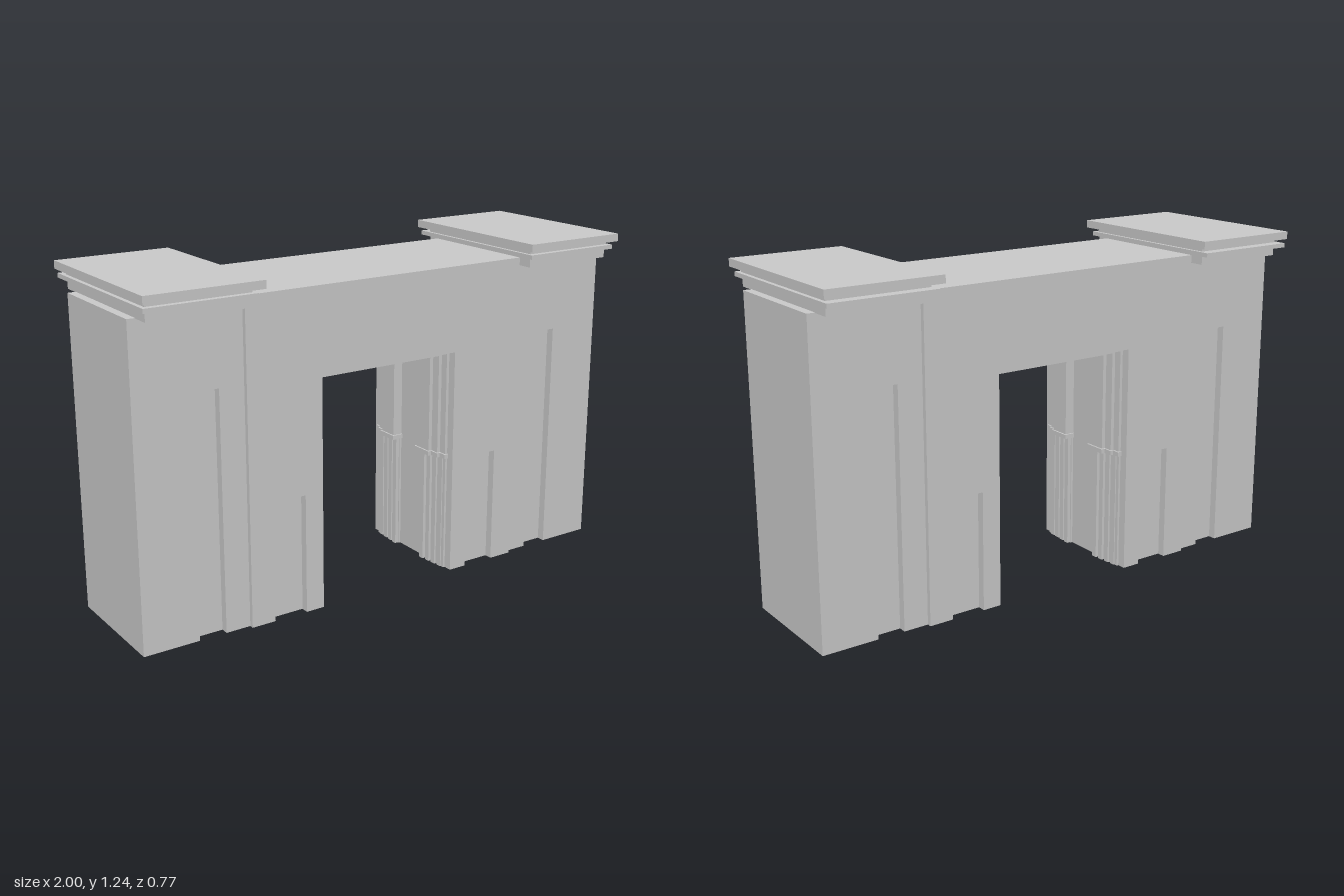
import * as THREE from 'three';

const material = new THREE.MeshStandardMaterial({ color: 0xcccccc });

function addMesh(parent, geometry, name) {
  const mesh = new THREE.Mesh(geometry, material);
  mesh.name = name;
  parent.add(mesh);
  return mesh;
}

// Box given by its limits on each axis
function block(parent, name, x0, x1, y0, y1, z0, z1) {
  const mesh = addMesh(parent, new THREE.BoxGeometry(Math.abs(x1 - x0), y1 - y0, Math.abs(z1 - z0)), name);
  mesh.position.set((x0 + x1) / 2, (y0 + y1) / 2, (z0 + z1) / 2);
}

// Upright slab standing on the ground, with notches [x0, x1, height] cut up from its foot
function slab(parent, name, x0, x1, height, z0, z1, notches) {
  const s = new THREE.Shape();
  s.moveTo(x0, 0);
  for (const [a, b, h] of notches) {
    s.lineTo(a, 0); s.lineTo(a, h); s.lineTo(b, h); s.lineTo(b, 0);
  }
  s.lineTo(x1, 0); s.lineTo(x1, height); s.lineTo(x0, height);
  const g = new THREE.ExtrudeGeometry(s, { depth: z1 - z0, bevelEnabled: false });
  addMesh(parent, g.translate(0, 0, z0), name);
}

// Solid core with a skin on front and back, where recesses are cut into the skins
function recessedWall(parent, name, x0, x1, height, half, through, recesses) {
  const d = 0.03;
  const all = [...through, ...recesses].sort((a, b) => a[0] - b[0]);
  slab(parent, name + 'Core', x0, x1, height, d - half, half - d, through);
  slab(parent, name + 'Front', x0, x1, height, half - d, half, all);
  slab(parent, name + 'Back', x0, x1, height, -half, d - half, all);
}

export function createModel() {
  const model = new THREE.Group();
  model.name = 'gateway';

  // Middle wall with the passage and two low recesses on each face
  const open = 0.288, openTop = 0.862;
  recessedWall(model, 'wall', -0.583, 0.583, 1.18, 0.248,
    [[-open, open, openTop]], [[-0.49, -0.36, 0.445], [0.36, 0.49, 0.445]]);

  for (const side of [-1, 1]) {
    const tower = new THREE.Group();
    tower.name = side > 0 ? 'leftTower' : 'rightTower';
    model.add(tower);
    const span = (a, b) => (side > 0 ? [a, b] : [-b, -a]);

    // Tower body with a tall recess on each face
    recessedWall(tower, 'towerBody', ...span(0.575, 0.99), 1.152, 0.231, [], [[...span(0.677, 0.78), 0.88]]);

    // Stepped cornice
    block(tower, 'corniceNeck', ...span(0.587, 0.96), 1.15, 1.184, -0.3, 0.3);
    block(tower, 'corniceFillet', ...span(0.573, 0.977), 1.184, 1.2, -0.342, 0.324);
    block(tower, 'corniceUpperNeck', ...span(0.585, 0.962), 1.2, 1.215, -0.302, 0.302);
    block(tower, 'corniceTop', ...span(0.557, 0.986), 1.215, 1.244, -0.344, 0.344);
  }

  // Passage mouldings near each face: [inner half width, top, outer z]
  const steps = [[0.277, 0.85, 0.215], [0.264, 0.838, 0.185], [0.25, 0.826, 0.15]];
  const zIn = 0.075, springing = 0.445;
  for (const face of [-1, 1]) {
    const arch = new THREE.Group();
    arch.name = face > 0 ? 'frontPortal' : 'backPortal';
    model.add(arch);
    for (const [inner, top, zOut] of steps) {
      block(arch, 'lintelMoulding', -open, open, top, openTop, face * zIn, face * zOut);
      for (const side of [-1, 1]) {
        block(arch, 'jambMoulding', side * inner, side * open, springing, top, face * zIn, face * zOut);
      }
    }
    for (const side of [-1, 1]) {
      // Capitals over the slim lower shafts
      for (const [inner, , zOut] of steps) {
        block(arch, 'capital', side * (inner - 0.006), side * open, springing, 0.462, face * (zIn - 0.006), face * (zOut + 0.006));
      }
      block(arch, 'shaftBacking', side * 0.28, side * open, 0, springing, face * zIn, face * 0.215);
      for (let i = 0; i < 4; i++) {
        const z = 0.08 + i * 0.033;
        block(arch, 'shaft', side * (0.267 + i * 0.003), side * open, 0, springing, face * z, face * (z + 0.022));
      }
    }
  }

  // The whole gateway stands slightly turned
  model.rotation.y = 0.04;
  return model;
}
